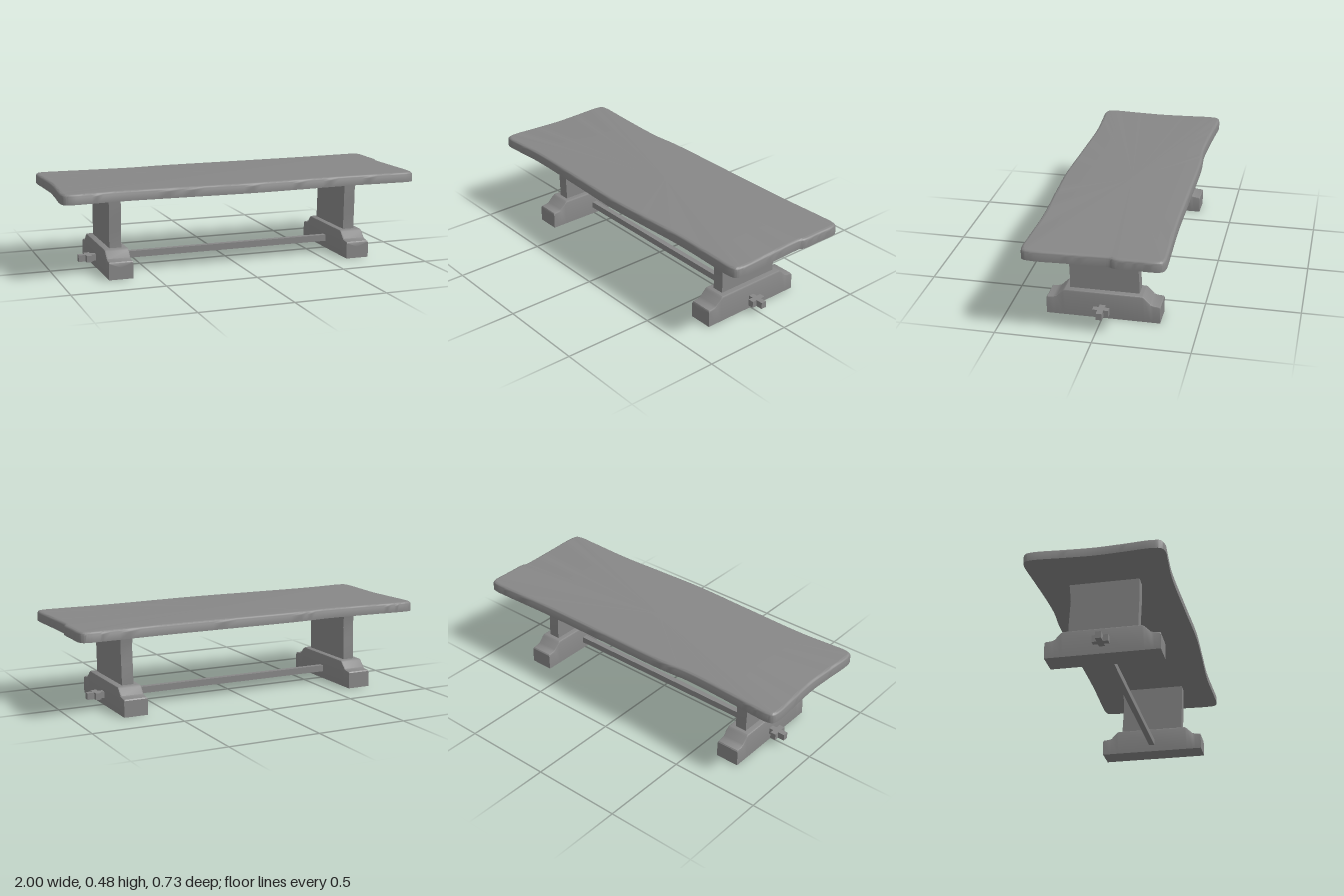
import * as THREE from 'three';
import { toCreasedNormals } from 'three/addons/utils/BufferGeometryUtils.js';

const material = new THREE.MeshStandardMaterial({ color: 0x878787 });

// Skin a row of rings (counter-clockwise about the direction of travel) and cap both ends.
function loft(rings, crease = 0.6) {
  const n = rings[0].length, last = rings.length - 1;
  const points = rings.flat(), index = [];
  for (let i = 0; i < last; i++) {
    for (let j = 0; j < n; j++) {
      const k = (j + 1) % n;
      const a = i * n + j, b = i * n + k, c = a + n, d = b + n;
      index.push(a, b, d, a, d, c);
    }
  }
  for (const row of [0, last]) {
    const centre = new THREE.Vector3();
    rings[row].forEach((p) => centre.addScaledVector(p, 1 / n));
    const m = points.push(centre) - 1;
    for (let j = 0; j < n; j++) {
      const a = row * n + j, b = row * n + (j + 1) % n;
      if (row === 0) index.push(m, b, a);
      else index.push(m, a, b);
    }
  }
  const geometry = new THREE.BufferGeometry().setFromPoints(points);
  geometry.setIndex(index);
  return toCreasedNormals(geometry, crease);
}

function part(name, geometry, parent, x = 0, y = 0, z = 0) {
  const mesh = new THREE.Mesh(geometry, material);
  mesh.name = name;
  mesh.position.set(x, y, z);
  parent.add(mesh);
}

// Worn slab: wavy outline, flat underside, rounded upper edge.
function topGeometry() {
  const outline = [
    [-0.95, 0.357], [-0.87, 0.354], [-0.68, 0.344], [-0.3, 0.355], [0.03, 0.366], [0.3, 0.358],
    [0.58, 0.348], [0.85, 0.355], [0.95, 0.356], [0.987, 0.343], [0.998, 0.3], [0.993, 0.12],
    [0.987, -0.07], [0.989, -0.095], [0.998, -0.115], [0.999, -0.22], [0.998, -0.325], [0.986, -0.354],
    [0.95, -0.365], [0.88, -0.365], [0.55, -0.355], [0.2, -0.355], [-0.27, -0.355], [-0.45, -0.343],
    [-0.75, -0.355], [-0.89, -0.364], [-0.95, -0.365], [-0.986, -0.354], [-0.998, -0.32],
    [-0.99, -0.15], [-0.983, 0], [-0.99, 0.15], [-0.998, 0.3], [-0.987, 0.343],
  ].map(([x, z]) => new THREE.Vector3(x, 0, z));
  const curve = new THREE.CatmullRomCurve3(outline, true);
  const samples = outline.length * 6;
  const ring = (y, inset) => Array.from({ length: samples }, (_, i) => {
    const p = curve.getPoint(i / samples), t = curve.getTangent(i / samples);
    return new THREE.Vector3(p.x + t.z * inset, y, p.z - t.x * inset);
  });
  const r = 0.018, rings = [ring(0.426, 0)];
  for (let i = 0; i <= 4; i++) {
    const a = (i / 4) * Math.PI / 2;
    rings.push(ring(0.48 - r + r * Math.sin(a), r * (1 - Math.cos(a))));
  }
  // A narrow flat border keeps the upper face evenly shaded
  rings.push(ring(0.48, r + 0.003));
  return loft(rings);
}

// Foot: stepped height along z with softened upper corners.
function footGeometry() {
  const w = 0.066, r = 0.008;
  const stations = [
    [-0.302, 0.088], [-0.297, 0.094], [-0.265, 0.097], [-0.25, 0.102], [-0.22, 0.135], [-0.208, 0.143],
    [0.198, 0.143], [0.21, 0.135], [0.243, 0.102], [0.26, 0.097], [0.29, 0.094], [0.294, 0.088],
  ];
  return loft(stations.map(([z, h]) => [
    [-w, 0], [w, 0], [w, h - r], [w - 0.3 * r, h - 0.3 * r], [w - r, h],
    [r - w, h], [0.3 * r - w, h - 0.3 * r], [-w, h - r],
  ].map(([x, y]) => new THREE.Vector3(x, y, z))));
}

// Upright plank with uneven front and back edges.
function uprightGeometry() {
  const w = 0.0325;
  const levels = [
    [0.13, 0.177, -0.188], [0.18, 0.175, -0.188], [0.25, 0.177, -0.184],
    [0.33, 0.181, -0.179], [0.38, 0.181, -0.183], [0.435, 0.181, -0.188],
  ];
  return loft(levels.map(([y, front, back]) => [
    [-w, front], [w, front], [w, back], [-w, back],
  ].map(([x, z]) => new THREE.Vector3(x, y, z))));
}

export function createModel() {
  const model = new THREE.Group();
  model.name = 'trestleBench';
  part('top', topGeometry(), model);

  // Trestle ends, each with a key pinning the stretcher outside the foot
  const foot = footGeometry(), upright = uprightGeometry();
  const key = new THREE.BoxGeometry(0.032, 0.036, 0.084);
  for (const [side, s] of [['left', 1], ['right', -1]]) {
    const trestle = new THREE.Group();
    trestle.name = side + 'Trestle';
    part('foot', foot, trestle, s * 0.683);
    part('upright', upright, trestle, s * 0.682);
    part('key', key, trestle, s * 0.79, 0.058, -0.002);
    model.add(trestle);
  }

  // Stretcher running through both feet
  part('stretcher', new THREE.BoxGeometry(1.688, 0.036, 0.031), model, 0, 0.058, -0.003);
  return model;
}
